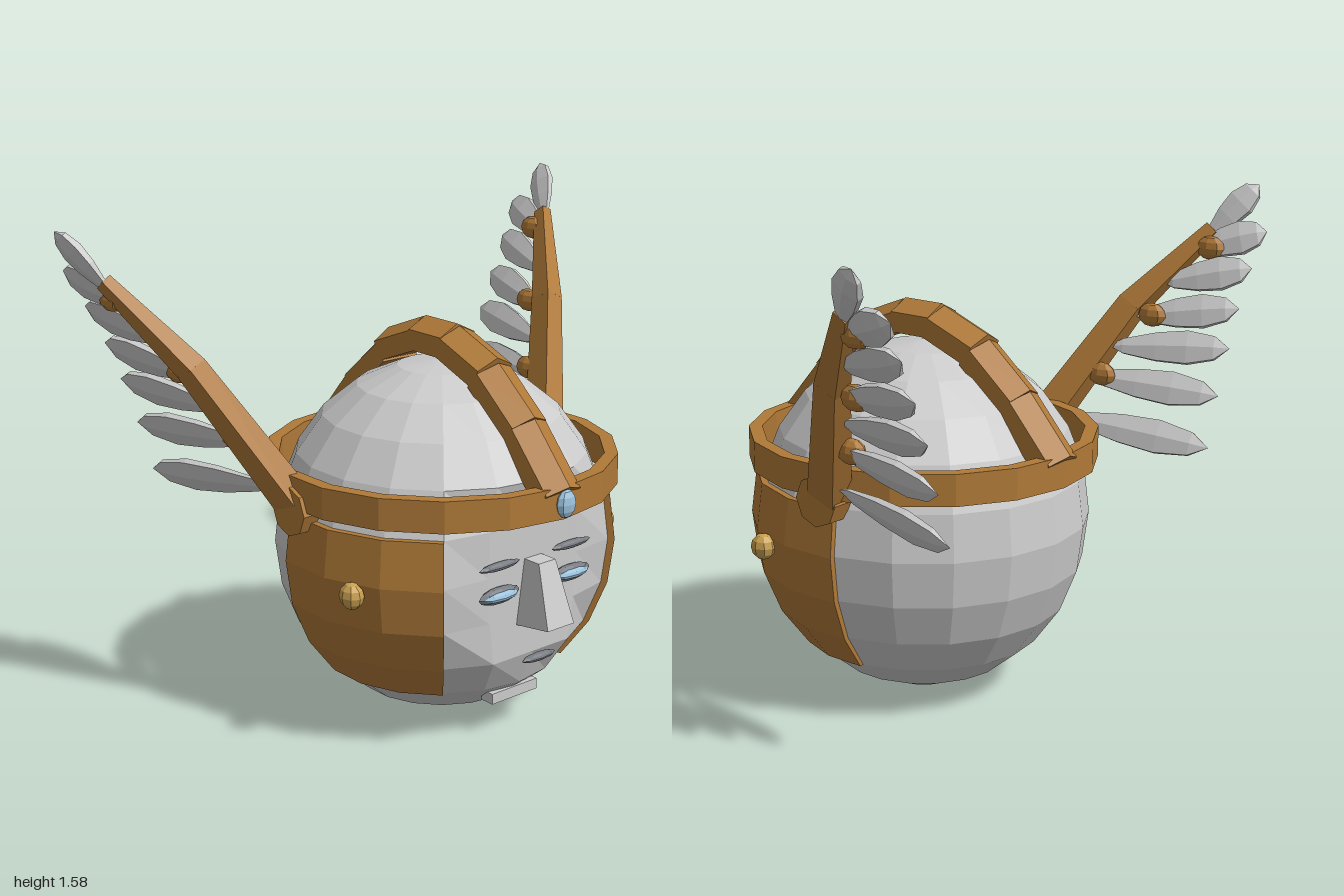
import * as THREE from 'three';

const mat = (color) => new THREE.MeshStandardMaterial({ color, flatShading: true, side: THREE.DoubleSide });
const V = (x, y, z) => new THREE.Vector3(x, y, z);
const CY = 0.57, CZ = 0.045; // centre of the head
const rad = THREE.MathUtils.degToRad;

export function createModel() {
  const model = new THREE.Group();
  const grey = mat(0xcccccc), bronze = mat(0xb07a38), gold = mat(0xc9a050), blue = mat(0x9cc3dd), dark = mat(0x777b80);

  const add = (name, geometry, material, x = 0, y = 0, z = 0, parent = model) => {
    const m = new THREE.Mesh(geometry, material);
    m.name = name;
    m.position.set(x, y, z);
    parent.add(m);
    return m;
  };
  const reshape = (geo, rule) => {
    const p = geo.attributes.position, v = V(0, 0, 0);
    for (let i = 0; i < p.count; i++) {
      rule(v.fromBufferAttribute(p, i));
      p.setXYZ(i, v.x, v.y, v.z);
    }
    geo.computeVertexNormals();
    return geo;
  };
  // faceted ellipsoid
  const blob = (name, material, x, y, z, rx, ry, rz, parent) =>
    add(name, new THREE.SphereGeometry(1, 8, 6), material, x, y, z, parent).scale.set(rx, ry, rz);
  // aim a mesh's y axis along dir, its z axis near normal
  const aim = (mesh, dir, normal) => {
    const d = dir.clone().normalize();
    const s = d.clone().cross(normal).normalize();
    mesh.quaternion.setFromRotationMatrix(new THREE.Matrix4().makeBasis(s, d, s.clone().cross(d)));
  };

  // Head with a flattened face
  const headGeo = reshape(new THREE.SphereGeometry(1, 18, 12, Math.PI / 18), (v) => {
    const faceRow = v.y > -0.6 && v.y < 0.4;
    v.set(v.x * 0.535, CY + v.y * 0.57, CZ + v.z * 0.535);
    if (faceRow) v.z = Math.min(v.z, 0.472);
  });
  add('head', headGeo, grey);

  // Face features
  for (const s of [-1, 1]) {
    blob('eyelid', dark, 0.15 * s, 0.515, 0.485, 0.083, 0.027, 0.02);
    blob('eye', blue, 0.15 * s, 0.515, 0.492, 0.07, 0.017, 0.025);
    blob('eyebrow', dark, 0.15 * s, 0.608, 0.485, 0.083, 0.013, 0.016);
  }
  blob('mouth', dark, 0, 0.28, 0.505, 0.07, 0.013, 0.018);
  add('chin', new THREE.BoxGeometry(0.19, 0.035, 0.05), grey, 0, 0.125, 0.375);
  add('nose', reshape(new THREE.BoxGeometry(1, 1, 1), (v) => {
    const low = v.y < 0, front = v.z > 0;
    v.set(v.x * (low ? (front ? 0.11 : 0.13) : 0.07),
      low ? (front ? 0.405 : 0.39) : 0.6,
      front ? (low ? 0.6 : 0.535) : 0.465);
  }), grey);

  // Helmet headband
  add('headband', reshape(new THREE.BoxGeometry(1, 1, 1, 18, 1, 1), (v) => {
    const a = (v.x + 0.5) * Math.PI * 2, r = v.z > 0 ? 0.56 : 0.517;
    v.set(Math.sin(a) * r, 0.805 + v.y * 0.1, CZ + Math.cos(a) * r);
  }), bronze);

  // Curved cheek guards with round studs
  for (const s of [-1, 1]) {
    add('cheekGuard', reshape(new THREE.BoxGeometry(1, 1, 1, 3, 4, 1), (v) => {
      const a = rad(70 * s + v.x * 60), t = rad(-15 + v.y * 60), out = v.z > 0;
      const r = (out ? 0.557 : 0.53) * Math.cos(t);
      v.set(Math.sin(a) * r, CY + 0.57 * Math.sin(t), CZ + Math.cos(a) * r);
    }), bronze);
    blob('cheekStud', gold, 0.53 * s, 0.54, 0.25, 0.036, 0.042, 0.042);
  }

  // Ridged crest: overlapping roof-shaped plates over the crown
  const crest = new THREE.Group();
  crest.name = 'crest';
  model.add(crest);
  const roof = new THREE.Shape();
  roof.moveTo(-0.07, -0.1);
  roof.lineTo(0.07, -0.1);
  roof.lineTo(0.07, -0.035);
  roof.lineTo(0, 0);
  roof.lineTo(-0.07, -0.035);
  // ridge ends of each plate as [z from centre, y]
  const plates = [[0.58, 0.86, 0.425, 1.035], [0.425, 1.04, 0.265, 1.175], [0.26, 1.19, 0.085, 1.258], [0.075, 1.263, -0.075, 1.263]];
  plates.forEach(([z0, y0, z1, y1], i) => {
    for (const s of i < 3 ? [1, -1] : [1]) {
      const a = V(0, y0, CZ + s * z0), d = V(0, y1, CZ + s * z1).sub(a);
      const g = new THREE.ExtrudeGeometry(roof, { depth: d.length(), bevelEnabled: false });
      const m = add('crestPlate', g, bronze, 0, a.y, a.z, crest);
      d.normalize();
      const up = V(0, Math.abs(d.z), -d.y * Math.sign(d.z));
      m.quaternion.setFromRotationMatrix(new THREE.Matrix4().makeBasis(up.clone().cross(d), up, d));
    }
  });
  blob('browJewel', blue, 0, 0.805, 0.61, 0.037, 0.045, 0.022);

  // Wings
  const feathers = [ // base x, y, z, tip x, y, z
    [0.56, 0.80, -0.10, 0.66, 0.755, -0.61],
    [0.61, 0.94, -0.15, 0.71, 0.92, -0.61],
    [0.66, 1.04, -0.21, 0.76, 1.07, -0.615],
    [0.72, 1.14, -0.27, 0.81, 1.195, -0.615],
    [0.79, 1.25, -0.33, 0.87, 1.32, -0.62],
    [0.86, 1.36, -0.40, 0.93, 1.435, -0.635],
    [0.895, 1.40, -0.43, 0.995, 1.575, -0.56],
  ];
  const vane = [[0, 0], [0.45, 0.12], [0.85, 0.4], [1, 0.66], [0.7, 0.88], [0, 1]].map(([x, y]) => new THREE.Vector2(x, y));
  for (const s of [-1, 1]) {
    const wing = new THREE.Group();
    wing.name = s > 0 ? 'leftWing' : 'rightWing';
    model.add(wing);
    const normal = V(0.4 * s, 0.68, -0.45).cross(V(0.18 * s, 0, -1)).normalize();

    // tapered two-piece arm
    const joints = [[0.515, 0.74, -0.02, 0.078], [0.735, 1.17, -0.245, 0.06], [0.9, 1.425, -0.445, 0.034]];
    for (let i = 0; i < 2; i++) {
      const [x0, y0, z0, r0] = joints[i], [x1, y1, z1, r1] = joints[i + 1];
      const a = V(x0 * s, y0, z0), b = V(x1 * s, y1, z1), d = b.clone().sub(a);
      const g = new THREE.CylinderGeometry(r1, r0, d.length() + 0.01, 4).rotateY(Math.PI / 4).scale(1, 1, 0.75);
      const mid = a.add(b).multiplyScalar(0.5);
      aim(add('wingArm', g, bronze, mid.x, mid.y, mid.z, wing), d, normal);
    }
    const hub = add('wingHub', new THREE.CylinderGeometry(0.08, 0.08, 0.07, 8), bronze, 0.53 * s, 0.745, -0.01, wing);
    hub.rotation.z = Math.PI / 2;

    feathers.forEach(([x0, y0, z0, x1, y1, z1], i) => {
      const d = V((x1 - x0) * s, y1 - y0, z1 - z0);
      const width = i === 6 ? 0.055 : 0.064;
      const g = new THREE.LatheGeometry(vane, 6).scale(width, d.length(), 0.022);
      aim(add('feather', g, grey, x0 * s, y0, z0, wing), d, normal);
      // bronze sockets behind every other feather
      if (i % 2 === 1) blob('featherSocket', bronze, (x0 + 0.01) * s, y0 + 0.01, z0 - 0.06, 0.03, 0.04, 0.055, wing);
    });
  }
  return model;
}
